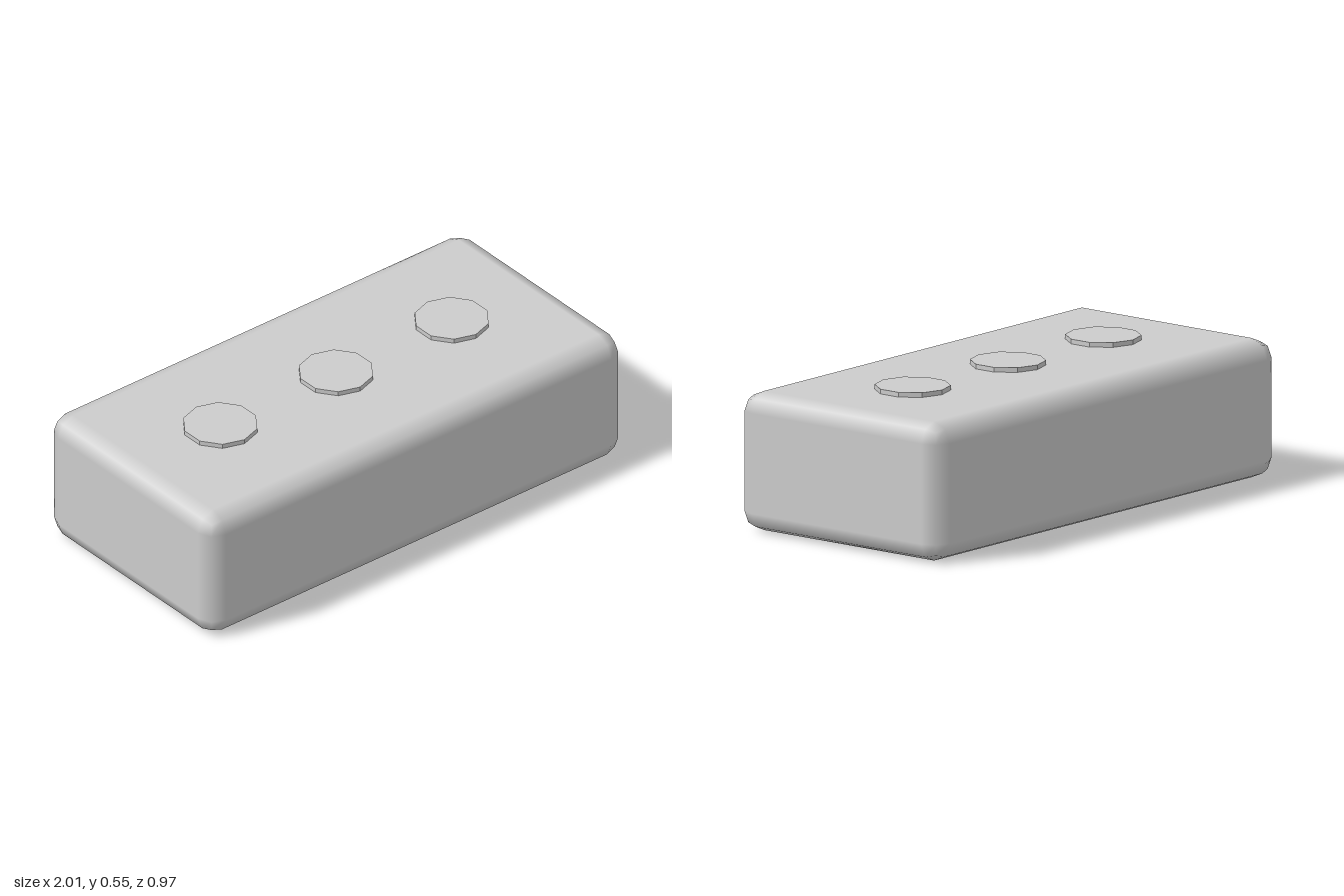
import * as THREE from 'three';
import { RoundedBoxGeometry } from 'three/addons/geometries/RoundedBoxGeometry.js';

export function createModel() {
  const model = new THREE.Group();
  model.name = 'studdedBlock';
  const lightGrey = new THREE.MeshStandardMaterial({ color: 0xcccccc });
  lightGrey.name = 'lightGrey';

  // Body: softly bevelled block; the coarse rounding pulls its faces in slightly
  const body = new THREE.Mesh(new RoundedBoxGeometry(2.014, 0.534, 0.974, 1, 0.075), lightGrey);
  body.name = 'body';
  body.position.y = 0.26;
  model.add(body);

  // Studs: three faceted ten-sided discs in a row on top
  const studGeometry = new THREE.CylinderGeometry(0.143, 0.143, 0.045, 10).toNonIndexed();
  studGeometry.computeVertexNormals();
  for (const [name, x] of [['rightStud', -0.56], ['middleStud', 0], ['leftStud', 0.56]]) {
    const stud = new THREE.Mesh(studGeometry, lightGrey);
    stud.name = name;
    stud.position.set(x, 0.5225, 0);
    model.add(stud);
  }
  return model;
}
